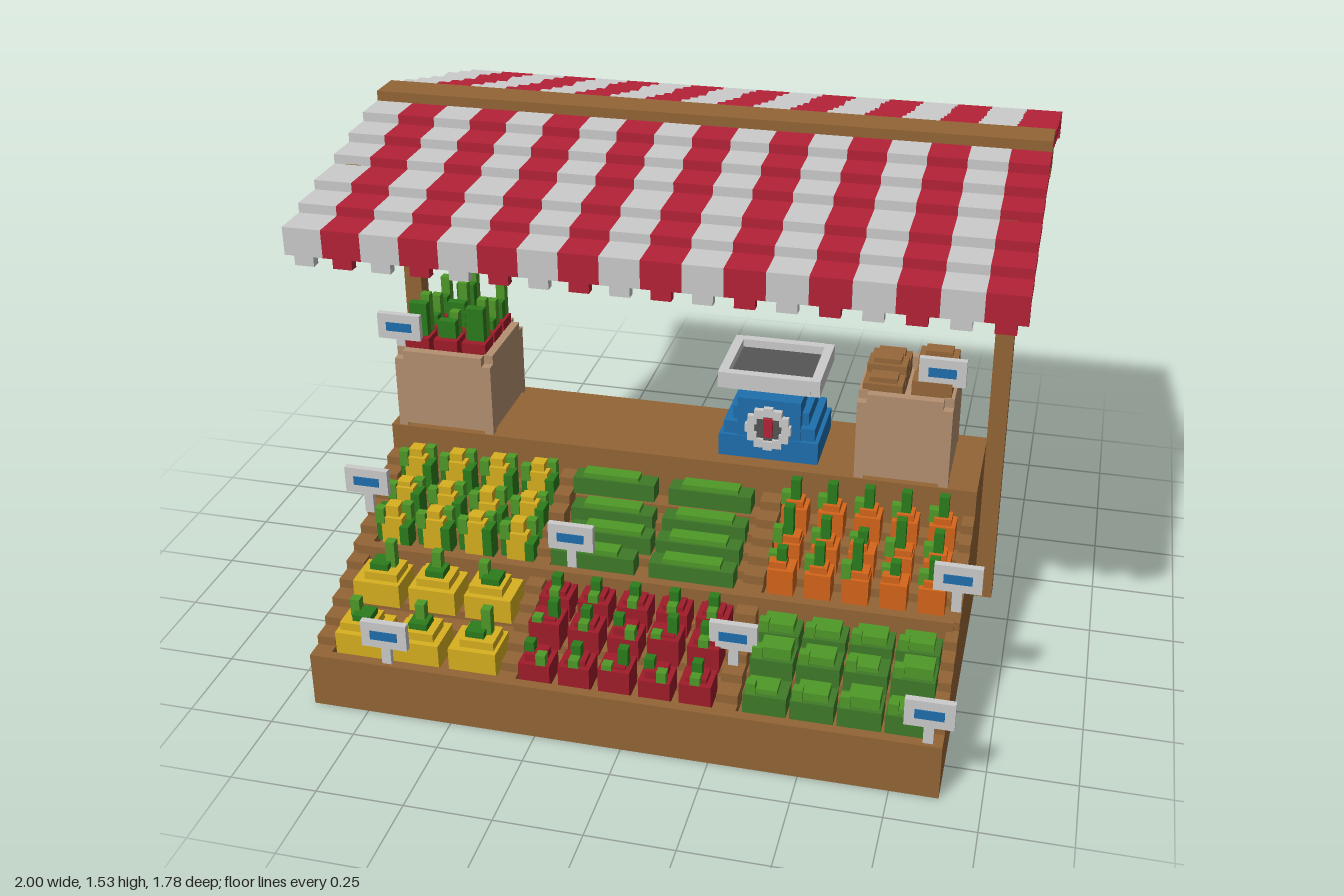
import * as THREE from 'three';
import { mergeGeometries } from 'three/addons/utils/BufferGeometryUtils.js';

const U = 1 / 36; // edge of one block
const C = {
  wood: 0x946536, red: 0xb52236, grey: 0xcccccc, tan: 0xb59070, blue: 0x1f6fae, steel: 0x555555,
  yellow: 0xd8b020, orange: 0xd4661a, radish: 0xa01c2a, green: 0x4f9a28, dark: 0x2c7d1c, cucumber: 0x3f7a28, potato: 0x96683a,
};
const materials = {};
const mat = (c) => (materials[c] ??= new THREE.MeshStandardMaterial({ color: C[c] }));

// One named group; the fill function adds boxes by colour and they are merged per colour
function part(parent, name, fill) {
  const lists = {};
  const box = (c, x0, x1, y0, y1, z0, z1) => {
    const g = new THREE.BoxGeometry(x1 - x0, y1 - y0, z1 - z0);
    g.translate((x0 + x1) / 2, (y0 + y1) / 2, (z0 + z1) / 2);
    (lists[c] ??= []).push(g);
  };
  // Box by centre x and z, standing on y
  const on = (c, x, y, z, w, h, d) => box(c, x - w / 2, x + w / 2, y, y + h, z - d / 2, z + d / 2);
  fill(box, on);
  const group = new THREE.Group();
  group.name = name;
  for (const c in lists) {
    const mesh = new THREE.Mesh(mergeGeometries(lists[c]), mat(c));
    mesh.name = `${name}_${c}`;
    group.add(mesh);
  }
  parent.add(group);
}

// Height of the stepped display slope, and of the tray floor below it
const slope = (z) => 0.167 + Math.max(0, Math.floor((0.89 - z) / 0.0575)) * U;
const floor = (z) => slope(z) - 1.5 * U;

// Visit a grid of positions, with a repeatable height jitter of -1, 0 or 1
function grid(xs, zs, fn) {
  zs.forEach((z, j) => xs.forEach((x, i) => fn(x, floor(z), z, ((i * 7 + j * 5 + i * j) % 3) - 1)));
}
const spread = (a, b, n) => Array.from({ length: n }, (_, i) => a + ((b - a) * i) / (n - 1));

export function createModel() {
  const root = new THREE.Group();
  root.name = 'marketStall';

  // Stepped display base with side walls and dividers
  part(root, 'displayStand', (box) => {
    const stepped = (x0, x1, drop) => {
      for (let i = 0; i < 12; i++) {
        const z1 = 0.89 - i * 0.0575;
        box('wood', x0, x1, 0, 0.167 + i * U - drop, z1 - 0.0575, z1);
      }
    };
    stepped(-0.86, 0.86, 2 * U);
    stepped(-0.915, -0.86, 0);
    stepped(0.85, 0.885, 0);
    stepped(-0.36, -0.31, 0);
    stepped(0.26, 0.32, 0);
    box('wood', -0.915, 0.885, 0, 0.167, 0.86, 0.89);
    box('wood', -0.9, 0.87, 0, 0.335, 0.525, 0.555);
  });
  part(root, 'counter', (box) => {
    box('wood', -0.915, 0.885, 0, 0.53, -0.11, 0.2);
    box('wood', -0.915, 0.885, 0.5, 0.555, -0.138, 0.2);
  });

  // Posts, ridge beam and stair-stepped braces
  part(root, 'frame', (box) => {
    box('wood', -1, 1, 1.42, 1.53, -0.195, -0.083);
    for (const x of [-0.97, 0.885]) {
      box('wood', x, x + 0.055, 0, 1.44, -0.166, -0.11);
      box('wood', x, x + 0.055, 1.03, 1.08, -0.195, -0.083);
      for (let i = 0; i < 13; i++) {
        const y = 1.035 + i * U, d = i * U;
        box('wood', x + 0.004, x + 0.051, y, y + 0.05, -0.11 + d, -0.11 + d + U);
        box('wood', x + 0.004, x + 0.051, y, y + 0.05, -0.166 - d - U, -0.166 - d);
      }
    }
  });

  // Striped canopy stepping down on both sides to a toothed valance
  part(root, 'canopy', (box) => {
    const edges = [0.05, 0.17, 0.28, 0.39, 0.53, 0.64, 0.75];
    for (let i = 0; i < 18; i++) {
      const c = i % 2 ? 'red' : 'grey', x0 = -1 + i * 4 * U;
      for (const s of [-1, 1]) {
        const strip = (xa, xb, y0, y1, d0, d1) => {
          const a = -0.139 + s * d0, b = -0.139 + s * d1;
          box(c, xa, xb, y0, y1, Math.min(a, b), Math.max(a, b));
        };
        for (let k = 0; k < 6; k++) {
          const y = 1.5 - k * U;
          strip(x0, x0 + 4 * U, y - U, y, edges[k] - (k ? 0.02 : 0), edges[k + 1]);
        }
        strip(x0, x0 + 4 * U, 1.28, 1.335, 0.75 - U, 0.75);
        strip(x0 + U, x0 + 3 * U, 1.252, 1.28, 0.75 - U, 0.75);
      }
    }
  });

  // Lower trays
  part(root, 'peppers', (box, on) => {
    grid([-0.78, -0.61, -0.44], [0.79, 0.645], (x, y, z, r) => {
      on('yellow', x, y, z, 0.14, 0.075, 0.12);
      on('yellow', x + r * 0.01, y + 0.07, z, 0.1, 0.03, 0.085);
      on('dark', x, y + 0.09, z, 0.055, 0.03, 0.055);
      on('green', x + U * r, y + 0.1, z - 0.01, U, 0.055 + (r + 1) * 0.014, U);
    });
  });
  part(root, 'radishes', (box, on) => {
    grid(spread(-0.255, 0.205, 5), [0.815, 0.715, 0.615], (x, y, z, r) => {
      on('radish', x, y, z, 0.09, 0.075 + r * 0.008, 0.085);
      on('radish', x, y + 0.06, z, 0.06, 0.03, 0.055);
      on('dark', x + r * 0.02, y + 0.07, z, U, 0.06 + r * 0.01, U);
      on('green', x - r * 0.02, y + 0.06, z + U, U, 0.04, U);
    });
  });
  part(root, 'lettuces', (box, on) => {
    grid(spread(0.395, 0.785, 4), [0.8, 0.71, 0.62], (x, y, z, r) => {
      on('cucumber', x, y, z, 0.12, 0.06, 0.085);
      on('green', x + r * 0.01, y + 0.05, z, 0.085, 0.035 + r * 0.01, 0.06);
      on('green', x - 0.04, y + 0.05, z + 0.025, U, 0.045, U);
    });
  });

  // Upper trays
  part(root, 'corn', (box, on) => {
    grid(spread(-0.805, -0.415, 4), [0.475, 0.375, 0.27], (x, y, z, r) => {
      on('yellow', x, y, z, 0.065, 0.1 + r * 0.01, 0.06);
      on('yellow', x, y + 0.09, z, 0.04, 0.035, 0.04);
      for (const s of [-1, 1]) {
        on('dark', x + s * 0.042, y, z + s * 0.015, U, 0.085 + s * r * 0.015, 0.055);
        on('green', x + s * 0.035, y + 0.07, z - s * 0.02, U, 0.05, U);
      }
    });
  });
  part(root, 'cucumbers', (box, on) => {
    grid([-0.17, 0.11], [0.48, 0.4, 0.32, 0.24], (x, y, z, r) => {
      on('cucumber', x + r * 0.015, y, z, 0.25, 0.055, 0.06);
      on('green', x + r * 0.025, y + 0.045, z, 0.17, 0.025, 0.045);
    });
  });
  part(root, 'carrots', (box, on) => {
    grid(spread(0.37, 0.8, 5), [0.475, 0.375, 0.27], (x, y, z, r) => {
      on('orange', x, y, z, 0.075, 0.085, 0.07);
      on('orange', x + r * 0.01, y + 0.08, z, 0.05, 0.025, 0.05);
      on('dark', x, y + 0.09, z, U, 0.08 + r * 0.025, U);
      on('green', x - U, y + 0.085, z + r * 0.02, U, 0.04 + r * 0.01, U);
    });
  });

  // Open crates on the counter
  const crate = (name, x0, x1, top, fill) => part(root, name, (box, on) => {
    const y0 = 0.555, z0 = -0.11, z1 = 0.195, t = U;
    box('tan', x0 + t, x1 - t, y0, top - 0.04, z0 + t, z1 - t);
    for (const x of [x0, x1 - t]) box('tan', x, x + t, y0 + 0.01, top, z0 + t, z1 - t);
    for (const z of [z0, z1 - t]) box('tan', x0 + t, x1 - t, y0 + 0.01, top, z, z + t);
    for (const x of [x0 + t / 2, x1 - t / 2]) for (const z of [z0 + t / 2, z1 - t / 2]) {
      on('tan', x, y0, z, t, top - y0 - t, t);
    }
    fill(on, (x0 + x1) / 2, top - 0.04);
  });
  crate('leafCrate', -0.89, -0.585, 0.81, (on, cx, y) => {
    spread(-0.09, 0.09, 3).forEach((dx, i) => spread(-0.045, 0.125, 3).forEach((z, j) => {
      const h = 0.06 + ((i * 2 + j * 3 + 1) % 4) * 0.025;
      on('radish', cx + dx, y, z, 0.075, 0.07, 0.07);
      on('dark', cx + dx, y + 0.06, z, 2 * U, h - 0.02, U);
      on('green', cx + dx + U / 2, y + 0.06, z - U, U, h + (j < 2 ? 0.035 : 0), U);
    }));
  });
  crate('potatoCrate', 0.525, 0.8, 0.83, (on, cx, y) => {
    spread(-0.07, 0.07, 2).forEach((dx, i) => spread(-0.04, 0.125, 3).forEach((z, j) => {
      const h = 0.075 + ((i + j) % 2) * 0.022;
      on('potato', cx + dx, y, z, 0.115, h - 0.015, 0.075);
      on('potato', cx + dx, y, z, 0.08, h, 0.05);
    }));
  });

  // Weighing scale with dial and pan
  part(root, 'scale', (box, on) => {
    const x = 0.26, z = 0.03;
    [[0.3, 0.07, 0.24], [0.275, 0.11, 0.215], [0.23, 0.15, 0.17], [0.185, 0.195, 0.13]]
      .forEach(([w, h, d]) => on('blue', x, 0.555, z, w, h, d));
    on('blue', x, 0.565, 0.1, 0.19, 0.185, 0.09);
    // Dial: ring of blocks around a needle
    for (let i = 0; i < 12; i++) {
      const a = (i * Math.PI) / 6;
      on('grey', x + 0.055 * Math.cos(a), 0.647 + 0.055 * Math.sin(a), 0.148, U, U, U);
    }
    on('steel', x, 0.62, 0.145, 0.085, 0.085, 0.015);
    on('red', x, 0.635, 0.152, U, 0.06, 0.02);
    // Neck and rimmed pan
    on('steel', x, 0.74, z, 0.1, 0.05, 0.1);
    on('steel', x, 0.785, z, 0.29, 0.025, 0.24);
    for (const s of [-1, 1]) {
      on('grey', x + s * 0.138, 0.785, z, U, 0.05, 0.26);
      on('grey', x, 0.785, z + s * 0.118, 0.25, 0.05, U);
    }
  });

  // Price signs: centre x, centre y, z
  [[-0.88, 0.875, 0.16], [0.76, 0.905, 0.15], [-0.905, 0.485, 0.43], [-0.245, 0.43, 0.51], [0.87, 0.46, 0.515],
    [-0.685, 0.265, 0.875], [0.285, 0.32, 0.73], [0.845, 0.265, 0.875]].forEach(([x, y, z]) => {
    part(root, 'priceSign', (box, on) => {
      on('grey', x, y - 0.041, z, 0.135, 0.082, 0.02);
      on('blue', x, y - 0.014, z + 0.008, 0.08, U, 0.01);
      on('grey', x, y - 0.11, z - 0.005, U, 0.08, 0.016);
    });
  });

  return root;
}
